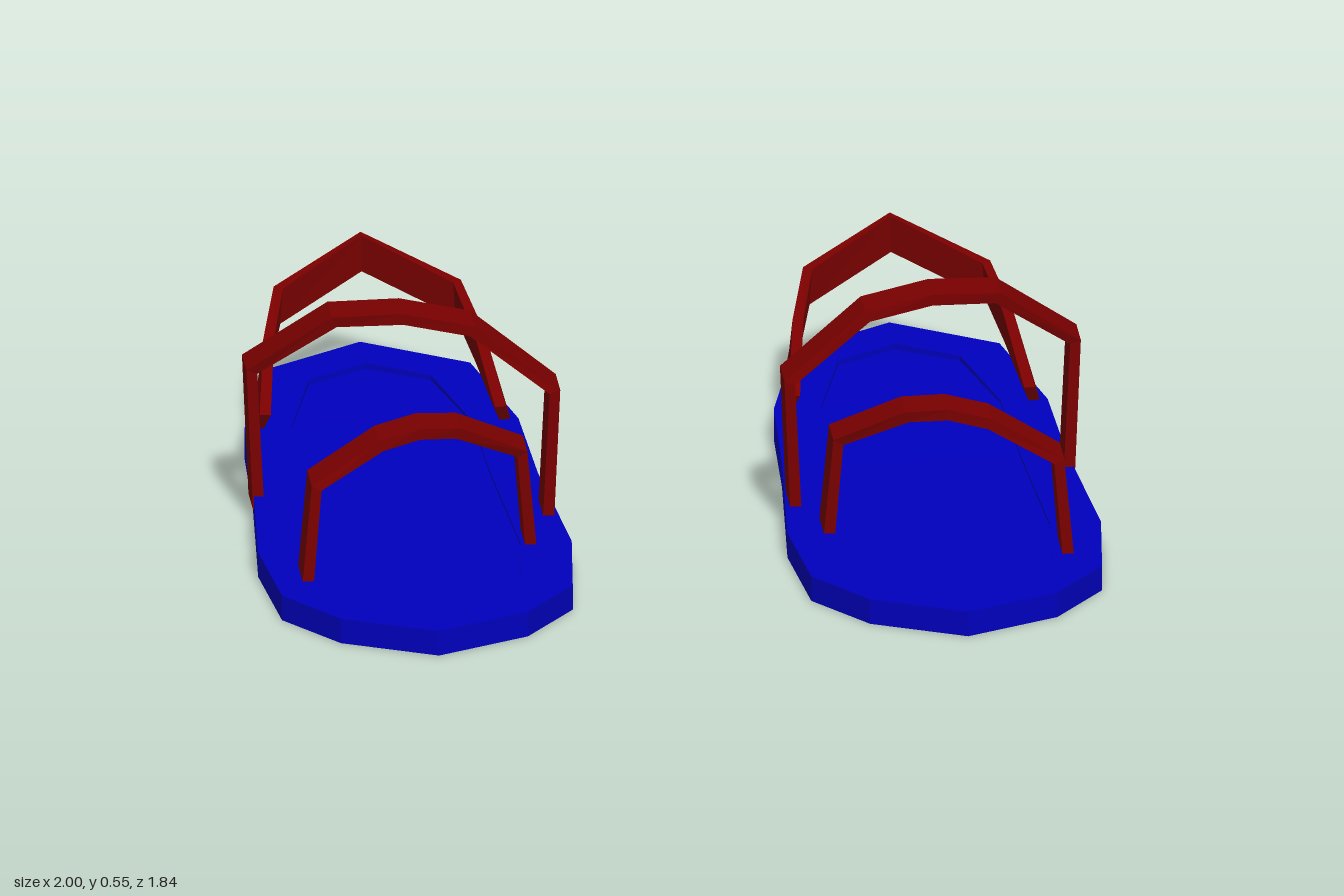
import * as THREE from 'three';

// Flat-shaded skin through matching closed rings of [x, y, z], capped at both ends.
function loft(rings, material, name) {
  const pos = [];
  const n = rings[0].length;
  const quad = (a, b, c, d) => pos.push(...a, ...b, ...c, ...a, ...c, ...d);
  for (let i = 0; i < rings.length - 1; i++) {
    for (let j = 0; j < n; j++) {
      const k = (j + 1) % n;
      quad(rings[i][j], rings[i + 1][j], rings[i + 1][k], rings[i][k]);
    }
  }
  // Caps are zipped across from one side of the ring to the other
  const first = rings[0], last = rings[rings.length - 1];
  for (let i = 0; i < n / 2; i++) {
    const l = (n - i) % n, m = n - i - 1;
    quad(first[l], first[i], first[i + 1], first[m]);
    quad(last[m], last[i + 1], last[i], last[l]);
  }
  const geometry = new THREE.BufferGeometry();
  geometry.setAttribute('position', new THREE.Float32BufferAttribute(pos, 3));
  geometry.computeVertexNormals();
  const mesh = new THREE.Mesh(geometry, material);
  mesh.name = name;
  return mesh;
}

// Half outlines of the sole [x, z], from heel tip to toe tip
const OUTER = [[0, -0.92], [0.245, -0.757], [0.325, -0.42], [0.338, -0.1], [0.372, 0.36], [0.345, 0.65], [0.222, 0.815], [0, 0.92]];
const INNER = [[0, -0.78], [0.145, -0.69], [0.213, -0.42], [0.227, -0.1], [0.25, 0.36], [0.23, 0.6], [0.15, 0.71], [0, 0.765]];
const mirrorOutline = (half) => [...half, ...half.slice(1, -1).reverse().map(([x, z]) => [-x, z])];

// The sole rises gently towards the heel
const soleHeight = (z) => 0.062 + 0.03 * THREE.MathUtils.clamp((-0.1 - z) / 0.655, 0, 1);

function makeSole(material) {
  const outer = mirrorOutline(OUTER), inner = mirrorOutline(INNER);
  return loft([
    outer.map(([x, z]) => [x, 0, z]),
    outer.map(([x, z]) => [x, soleHeight(z), z]),
    inner.map(([x, z]) => [x, soleHeight(z), z]),
    inner.map(([x, z]) => [x, Math.min(soleHeight(z) - 0.006, 0.077), z]), // shallow footbed
  ], material, 'sole');
}

// Arched band crossing the foot at a slant; half is the outer edge [x, y] from foot to crown
function makeArch(half, z0, slant, material, name) {
  const pts = [...half, ...half.slice(0, -1).reverse().map(([x, y]) => [-x, y])]
    .map(([x, y]) => new THREE.Vector2(x, y));
  const w = 0.053, t = 0.027;
  const rings = pts.map((p, i) => {
    const d = pts[Math.min(i + 1, pts.length - 1)].clone().sub(pts[Math.max(i - 1, 0)]).normalize();
    const qx = p.x + d.y * t, qy = p.y - d.x * t, z = z0 + slant * p.x;
    return [[p.x, p.y, z + w], [p.x, p.y, z - w], [qx, qy, z - w], [qx, qy, z + w]];
  });
  return loft(rings, material, name);
}

// Sling around the heel: outer top edge, outer bottom edge, inward offset [x, z]
function makeHeelStrap(material) {
  const half = [
    [[-0.292, 0.12, -0.39], [-0.318, 0.035, -0.445], [0.026, 0.004]],
    [[-0.262, 0.232, -0.6], [-0.268, 0.148, -0.62], [0.025, 0.006]],
    [[-0.222, 0.305, -0.75], [-0.228, 0.217, -0.75], [0.02, 0.017]],
    [[0, 0.375, -0.907], [0, 0.285, -0.907], [0, 0.026]],
  ];
  const flip = ([x, ...rest]) => [-x, ...rest];
  const all = [...half, ...half.slice(0, -1).reverse().map((s) => s.map(flip))];
  const rings = all.map(([a, b, o]) => {
    const inward = ([x, y, z]) => [x + o[0], y, z + o[1]];
    return [inward(a), a, b, inward(b)];
  });
  return loft(rings, material, 'heelStrap');
}

export function createModel() {
  const blue = new THREE.MeshStandardMaterial({ color: 0x0000be });
  blue.name = 'blue sole';
  const red = new THREE.MeshStandardMaterial({ color: 0x7a0000 });
  red.name = 'dark red strap';

  const toeArch = [[-0.288, 0.05], [-0.265, 0.3], [-0.1, 0.385], [0, 0.4]];
  const instepArch = [[-0.347, 0.03], [-0.362, 0.38], [-0.165, 0.527], [0, 0.547]];

  const model = new THREE.Group();
  model.name = 'sandals';
  // side -1 is the right sandal, +1 the left; only the strap slant is mirrored
  for (const side of [-1, 1]) {
    const sandal = new THREE.Group();
    sandal.name = side < 0 ? 'rightSandal' : 'leftSandal';
    sandal.add(
      makeSole(blue),
      makeArch(toeArch, 0.415, side * 0.33, red, 'toeStrap'),
      makeArch(instepArch, 0.038, side * -0.28, red, 'instepStrap'),
      makeHeelStrap(red),
    );
    sandal.position.x = side * 0.628;
    model.add(sandal);
  }
  return model;
}
